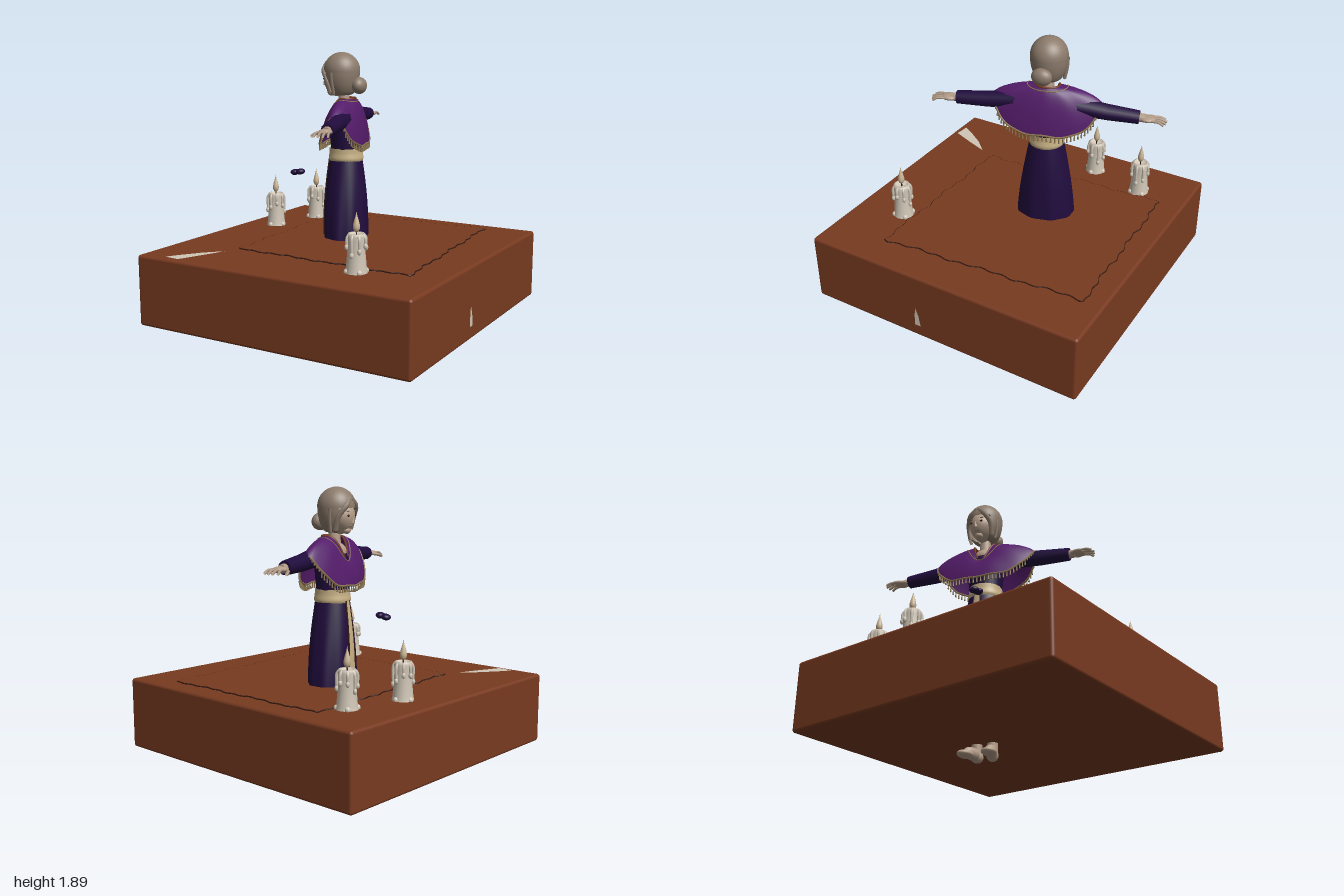
import * as THREE from 'three';
import { RoundedBoxGeometry } from 'three/addons/geometries/RoundedBoxGeometry.js';
import { ParametricGeometry } from 'three/addons/geometries/ParametricGeometry.js';

const mat = (name, color) => new THREE.MeshStandardMaterial({ name, color, side: THREE.DoubleSide });
const M = {
  clay: mat('red brown', 0x783a20), line: mat('dark brown', 0x35190f),
  dress: mat('dark violet', 0x210c3e), shawl: mat('purple', 0x541c6a),
  sash: mat('cream', 0xc6b084), gold: mat('old gold', 0x8c7650),
  hair: mat('ash brown', 0x8c7b6c), skin: mat('skin', 0xb39c88),
  wax: mat('wax', 0xd0c6b6), flame: mat('pale flame', 0xcbb593),
};
const V = (x, y, z) => new THREE.Vector3(x, y, z);
const TAU = Math.PI * 2, lerp = THREE.MathUtils.lerp;

function add(parent, name, geo, material, pos = [0, 0, 0], scale = [1, 1, 1]) {
  const m = new THREE.Mesh(geo, material);
  m.name = name;
  m.position.set(...pos);
  m.scale.set(...scale);
  parent.add(m);
  return m;
}
function group(parent, name, x = 0, y = 0, z = 0) {
  const g = new THREE.Group();
  g.name = name;
  g.position.set(x, y, z);
  parent.add(g);
  return g;
}
const ball = new THREE.SphereGeometry(1, 24, 16);
const lathe = (pts, start = 0, len = TAU) =>
  new THREE.LatheGeometry(new THREE.SplineCurve(pts.map(p => new THREE.Vector2(...p))).getPoints(14), 32, start, len);
const tube = (pts, r, closed = false, n = 12) =>
  new THREE.TubeGeometry(new THREE.CatmullRomCurve3(pts, closed), n, r, 6, closed);
// tapered rod between two points
function rod(parent, name, a, b, ra, rb, material) {
  const m = add(parent, name, new THREE.CylinderGeometry(rb, ra, a.distanceTo(b), 10), material);
  m.position.copy(a).lerp(b, 0.5);
  m.quaternion.setFromUnitVectors(V(0, 1, 0), b.clone().sub(a).normalize());
  return m;
}

function addBase(root) {
  const base = group(root, 'base');
  add(base, 'block', new RoundedBoxGeometry(2, 0.48, 2, 3, 0.02), M.clay, [0, 0.36, 0]);
  // thin mat with a wavy outline
  const corners = [[-0.58, -0.83], [0.66, -0.86], [0.77, 0.57], [-0.52, 0.53]], edge = [];
  corners.forEach((a, i) => {
    const b = corners[(i + 1) % 4];
    for (let k = 0; k < 40; k++) {
      const t = k / 40, w = 0.008 * Math.sin(k * 1.45 + i) + 0.008 * Math.sin(k * 0.47 + i * 2);
      edge.push([lerp(a[0], b[0], t) + (i % 2 ? w : 0), lerp(a[1], b[1], t) + (i % 2 ? 0 : w)]);
    }
  });
  const shape = new THREE.Shape(edge.map(p => new THREE.Vector2(p[0], -p[1])));
  const top = add(base, 'mat', new THREE.ExtrudeGeometry(shape, { depth: 0.012, bevelEnabled: false }), [M.clay, M.line], [0, 0.596, 0]);
  top.rotation.x = -Math.PI / 2;
  add(base, 'matEdge', tube(edge.map(p => V(p[0], 0.604, p[1])), 0.0045, true, 320), M.line);
  // pale scraps on the top and the side
  const scrap = pts => new THREE.ShapeGeometry(new THREE.Shape(pts.map(p => new THREE.Vector2(...p))));
  add(base, 'topScrap', scrap([[-0.8, -0.95], [-0.69, -0.96], [-0.61, -0.77], [-0.56, -0.64], [-0.66, -0.74], [-0.76, -0.88]]),
    M.wax, [0, 0.603, 0]).rotation.x = -Math.PI / 2;
  add(base, 'sideScrap', scrap([[-0.18, 0.21], [-0.135, 0.21], [-0.148, 0.29], [-0.17, 0.35], [-0.178, 0.29]]),
    M.wax, [1.003, 0, 0]).rotation.y = Math.PI / 2;
}

function addCandle(root, x, z, turn) {
  const c = group(root, 'candle', x, 0.6, z);
  c.rotation.y = turn;
  add(c, 'candleBody', new THREE.LatheGeometry([[0.07, 0], [0.064, 0.03], [0.056, 0.12], [0.055, 0.2], [0.058, 0.225], [0.052, 0.243],
    [0.042, 0.243], [0.034, 0.228], [0, 0.225]].map(p => new THREE.Vector2(...p)), 24), M.wax);
  for (let i = 0; i < 8; i++) {
    const a = i / 8 * TAU, low = 0.1 + 0.07 * Math.abs(Math.sin(i * 2.3));
    const at = (r, y) => V(r * Math.cos(a), y, r * Math.sin(a));
    add(c, 'drip', tube([at(0.046, 0.236), at(0.06, 0.215), at(0.06, low)], 0.01), M.wax);
    add(c, 'dripEnd', ball, M.wax, at(0.062, low).toArray(), [0.013, 0.02, 0.013]);
    if (i % 2) add(c, 'waxFoot', ball, M.wax, at(0.062, 0.008).toArray(), [0.018, 0.02, 0.018]);
  }
  add(c, 'wick', new THREE.CylinderGeometry(0.004, 0.004, 0.05, 8), M.line, [0, 0.245, 0]);
  add(c, 'flame', lathe([[0, 0.245], [0.016, 0.26], [0.022, 0.285], [0.015, 0.32], [0.006, 0.35], [0, 0.38]]), M.flame);
}

function addHead(figure) {
  const h = group(figure, 'head', 0, 0, 0.03);
  h.rotation.y = -0.16;
  const face = new THREE.SphereGeometry(1, 28, 20), p = face.attributes.position;
  for (let i = 0; i < p.count; i++) {           // narrow the jaw
    const k = 1 - 0.35 * Math.max(0, -p.getY(i)) ** 1.5;
    p.setX(i, p.getX(i) * k);
    p.setZ(i, p.getZ(i) * (p.getZ(i) > 0 ? 1 - 0.1 * (1 - k) : k));
  }
  face.computeVertexNormals();
  add(h, 'face', face, M.skin, [0, 1.705, 0.03], [0.088, 0.115, 0.1]);
  add(h, 'nose', new THREE.ConeGeometry(0.014, 0.045, 8), M.skin, [0, 1.69, 0.131]).rotation.x = 0.25;
  add(h, 'chin', ball, M.skin, [0, 1.618, 0.078], [0.03, 0.025, 0.028]);
  add(h, 'mouth', ball, M.hair, [0, 1.645, 0.108], [0.02, 0.005, 0.008]);
  for (const s of [-1, 1]) {
    add(h, 'eye', ball, M.line, [s * 0.037, 1.712, 0.118], [0.014, 0.007, 0.006]);
    add(h, 'brow', ball, M.hair, [s * 0.037, 1.74, 0.115], [0.02, 0.004, 0.006]);
    // swept fringe and side locks
    add(h, 'fringe', tube([V(s * 0.01, 1.82, 0.105), V(s * 0.055, 1.775, 0.112), V(s * 0.088, 1.71, 0.075), V(s * 0.085, 1.62, 0.05)], 0.018), M.hair);
    add(h, 'sideLock', tube([V(s * 0.118, 1.76, 0.03), V(s * 0.115, 1.69, 0.025), V(s * 0.1, 1.61, 0.02)], 0.012), M.hair);
  }
  add(h, 'hairCrown', new THREE.SphereGeometry(1, 32, 12, 0, TAU, 0, 1.62), M.hair, [0, 1.768, 0], [0.125, 0.127, 0.127]);
  add(h, 'hairBack', lathe([[0.125, 1.77], [0.122, 1.72], [0.108, 1.66], [0.08, 1.61], [0.04, 1.6]], 0.85, TAU - 1.7), M.hair);
  add(h, 'bun', ball, M.hair, [0, 1.668, -0.13], [0.07, 0.058, 0.05]);
}

// points on the skirt and on the shawl
function skirtPoint(a, v, out = 0) {
  const y = lerp(1.16, 0.5, v), r = 0.116 + 0.088 * Math.sin(v * 1.45) + out;
  const fold = 1 + 0.025 * v * Math.sin(a * 9);
  return [r * fold * Math.cos(a), y, r * fold * Math.sin(a) * lerp(0.98, 0.73, v)];
}
function shawlPoint(a, t) {
  const c = Math.cos(a), s = Math.sin(a), front = Math.max(0, s);
  const bulge = lerp(t, Math.sin(t * Math.PI / 2), 0.6), drop = lerp(t, 1 - Math.cos(t * Math.PI / 2), 0.7);
  const neckY = 1.578 - 0.15 * front ** 3, hemY = 1.265 + 0.205 * c ** 4;
  return [
    lerp(0.08, 0.37, bulge) * c,
    lerp(neckY, hemY, drop) + 0.004 * Math.sin(a * 11) * t,
    lerp(s > 0 ? 0.105 : 0.06, s > 0 ? 0.17 : 0.14, bulge) * s - 0.005,
  ];
}
const surface = (fn, nu, nv) => new ParametricGeometry((u, v, t) => t.set(...fn(u, v)), nu, nv);

function addArm(figure, s) {
  const arm = group(figure, s > 0 ? 'leftArm' : 'rightArm', 0, 0, -0.025);
  rod(arm, 'sleeve', V(s * 0.08, 1.465, 0), V(s * 0.42, 1.43, 0), 0.068, 0.053, M.dress);
  rod(arm, 'forearmSleeve', V(s * 0.4, 1.432, 0), V(s * 0.61, 1.42, 0), 0.054, 0.045, M.dress);
  rod(arm, 'wrist', V(s * 0.58, 1.42, 0), V(s * 0.65, 1.418, 0), 0.03, 0.028, M.skin);
  add(arm, 'palm', ball, M.skin, [s * 0.665, 1.416, 0], [0.055, 0.02, 0.046]);
  for (let i = 0; i < 4; i++) {
    const z = (i - 1.5) * 0.022, tip = 0.79 - 0.012 * Math.abs(i - 1.7);
    add(arm, 'finger', tube([V(s * 0.69, 1.417, z), V(s * 0.74, 1.416, z * 1.25), V(s * tip, 1.4, z * 1.4)], 0.009), M.skin);
  }
  add(arm, 'thumb', tube([V(s * 0.64, 1.415, 0.03), V(s * 0.68, 1.405, 0.062), V(s * 0.72, 1.395, 0.072)], 0.011), M.skin);
}

function addFigure(root) {
  const f = group(root, 'figure', -0.105, 0, -0.172);
  f.rotation.y = -1.276;
  addHead(f);
  add(f, 'neck', new THREE.CylinderGeometry(0.036, 0.045, 0.16, 18), M.skin, [0, 1.56, 0.015]);
  add(f, 'chest', ball, M.skin, [0, 1.47, 0.02], [0.085, 0.07, 0.075]);
  add(f, 'bodice', lathe([[0.112, 1.16], [0.115, 1.22], [0.128, 1.36], [0.122, 1.43], [0.09, 1.49]]), M.dress, [0, 0, 0], [1, 1, 0.9]);
  add(f, 'sash', lathe([[0.116, 1.145], [0.122, 1.165], [0.117, 1.2], [0.116, 1.235]]), M.sash);
  add(f, 'skirt', surface((u, v) => skirtPoint(u * TAU, v), 72, 14), M.dress);
  add(f, 'skirtPanel', surface((u, v) => skirtPoint(lerp(1.53, 1.85, u), v, 0.006), 8, 14), M.sash);
  for (const a of [1.52, 1.86]) {
    const pts = [0, 0.25, 0.5, 0.75, 1].map(v => V(...skirtPoint(a, v, 0.005)));
    add(f, 'panelEdge', tube(pts, 0.005), M.line);
  }
  // shawl with trimmed hem, neckline and tassels
  add(f, 'shawl', surface((u, v) => shawlPoint(u * TAU, v), 72, 14), M.shawl);
  const ring = t => Array.from({ length: 72 }, (_, i) => V(...shawlPoint(i / 72 * TAU, t)));
  add(f, 'hemTrim', tube(ring(1), 0.007, true, 144), M.gold);
  add(f, 'neckTrim', tube(ring(0), 0.008, true, 96), M.clay);
  add(f, 'necklace', tube(ring(0.14), 0.004, true, 96), M.gold);
  for (let i = 0; i < 84; i++) {
    const a = V(...shawlPoint(i / 84 * TAU, 1)), side = Math.abs(a.x) > 0.33;
    rod(f, 'tassel', a, V(a.x, a.y - (side ? 0.018 : 0.042), a.z), 0.003, 0.006, M.gold);
  }
  for (const s of [-1, 1]) {
    addArm(f, s);
    const foot = group(f, 'foot', s * 0.055, 0, -0.02);
    foot.rotation.y = s * 0.2;
    add(foot, 'leg', new THREE.CylinderGeometry(0.042, 0.034, 0.3, 16), M.skin, [0, 0.19, -0.005]);
    add(foot, 'heel', ball, M.skin, [0, 0.04, -0.005], [0.04, 0.04, 0.05]);
    add(foot, 'instep', ball, M.skin, [0, 0.048, 0.05], [0.04, 0.042, 0.085]);
    add(foot, 'toes', ball, M.skin, [0, 0.026, 0.13], [0.05, 0.026, 0.065]);
  }
}

export function createModel() {
  const root = new THREE.Group();
  root.name = 'figureWithCandles';
  addBase(root);
  [[-0.65, -0.64, 0], [-0.755, -0.24, 0.7], [0.45, 0.65, 1.6]].forEach(c => addCandle(root, ...c));
  addFigure(root);
  // small floating pebble
  const pebble = group(root, 'pebble', -0.405, 1.06, -0.01);
  pebble.rotation.z = 0.15;
  for (const s of [-1, 1]) add(pebble, 'pebbleLobe', ball, M.dress, [s * 0.022, 0, 0], [0.033, 0.021, 0.033]);
  return root;
}
